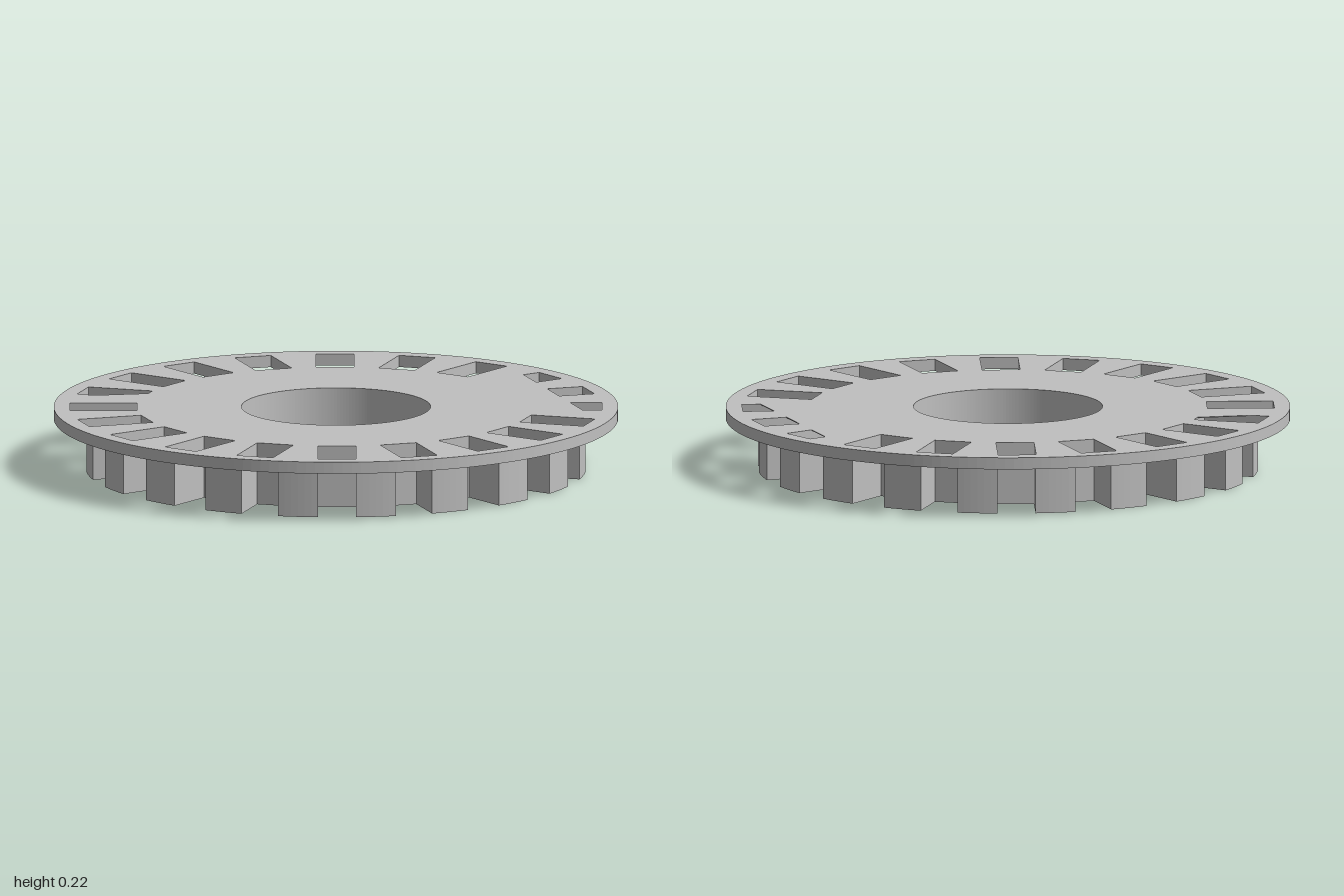
import * as THREE from 'three';

const SLOTS = 20, STEP = Math.PI * 2 / SLOTS;
const HALF_W = 0.0675, SLOT_IN = 0.705, SLOT_OUT = 0.942;
const BORE = 0.335, BODY_R = 0.887, TOP = 0.222, MID = 0.18;

// Corners of slot i in the (x, z) plane
function slotCorners(i) {
  const c = Math.cos(i * STEP), s = Math.sin(i * STEP);
  return [[SLOT_IN, -HALF_W], [SLOT_OUT, -HALF_W], [SLOT_OUT, HALF_W], [SLOT_IN, HALF_W]]
    .map(([r, t]) => new THREE.Vector2(r * c - t * s, r * s + t * c));
}

// Part of a polygon where side(p) is positive
function clip(points, side) {
  const out = [];
  points.forEach((a, i) => {
    const b = points[(i + 1) % points.length];
    const da = side(a), db = side(b);
    if (da >= 0) out.push(a);
    if (da * db < 0) out.push(a.clone().lerp(b, da / (da - db)));
  });
  return out;
}

// Horizontal slab from a shape drawn in x and z
function slab(name, shape, top, depth, material) {
  const geometry = new THREE.ExtrudeGeometry(shape, { depth, bevelEnabled: false, curveSegments: 96 });
  geometry.rotateX(Math.PI / 2).translate(0, top, 0);
  const mesh = new THREE.Mesh(geometry, material);
  mesh.name = name;
  return mesh;
}

function addBore(shape) {
  shape.holes.push(new THREE.Path().absarc(0, 0, BORE, 0, Math.PI * 2, true));
}

export function createModel() {
  const group = new THREE.Group();
  group.name = 'slottedDisc';
  const grey = new THREE.MeshStandardMaterial({ color: 0xc0c0c0 });
  grey.name = 'grey';

  // Thin upper flange pierced by the ring of slots
  const flange = new THREE.Shape().absarc(0, 0, 1, 0, Math.PI * 2, false);
  addBore(flange);
  for (let i = 0; i < SLOTS; i++) flange.holes.push(new THREE.Path(slotCorners(i).reverse()));
  group.add(slab('flange', flange, TOP, TOP - MID, grey));

  // Lower hub whose rim is notched into teeth
  const hub = new THREE.Shape();
  const edge = Math.asin(HALF_W / BODY_R);
  for (let i = 0; i < SLOTS; i++) {
    const [innerA, , , innerB] = slotCorners(i);
    if (i === 0) hub.moveTo(innerA.x, innerA.y);
    else hub.lineTo(innerA.x, innerA.y);
    hub.lineTo(innerB.x, innerB.y);
    const a = i * STEP + edge, b = (i + 1) * STEP - edge;
    for (let k = 0; k <= 6; k++) {
      const t = a + (b - a) * k / 6;
      hub.lineTo(BODY_R * Math.cos(t), BODY_R * Math.sin(t));
    }
  }
  hub.closePath();
  addBore(hub);
  group.add(slab('toothedHub', hub, MID, MID, grey));

  // Thin webs that partly close a few slots
  const web = (name, i, top, side) =>
    group.add(slab(name, new THREE.Shape(clip(slotCorners(i), side)), top, 0.003, grey));
  for (const i of [19, 0, 1]) web('upperWeb', i, TOP, p => 0.81 - p.x);
  web('upperWeb', 12, TOP, p => p.y + 0.46 - (p.x + 0.75) * 0.154);
  for (const i of [9, 10, 11]) web('lowerWeb', i, MID + 0.003, p => -0.77 - p.x);

  return group;
}
